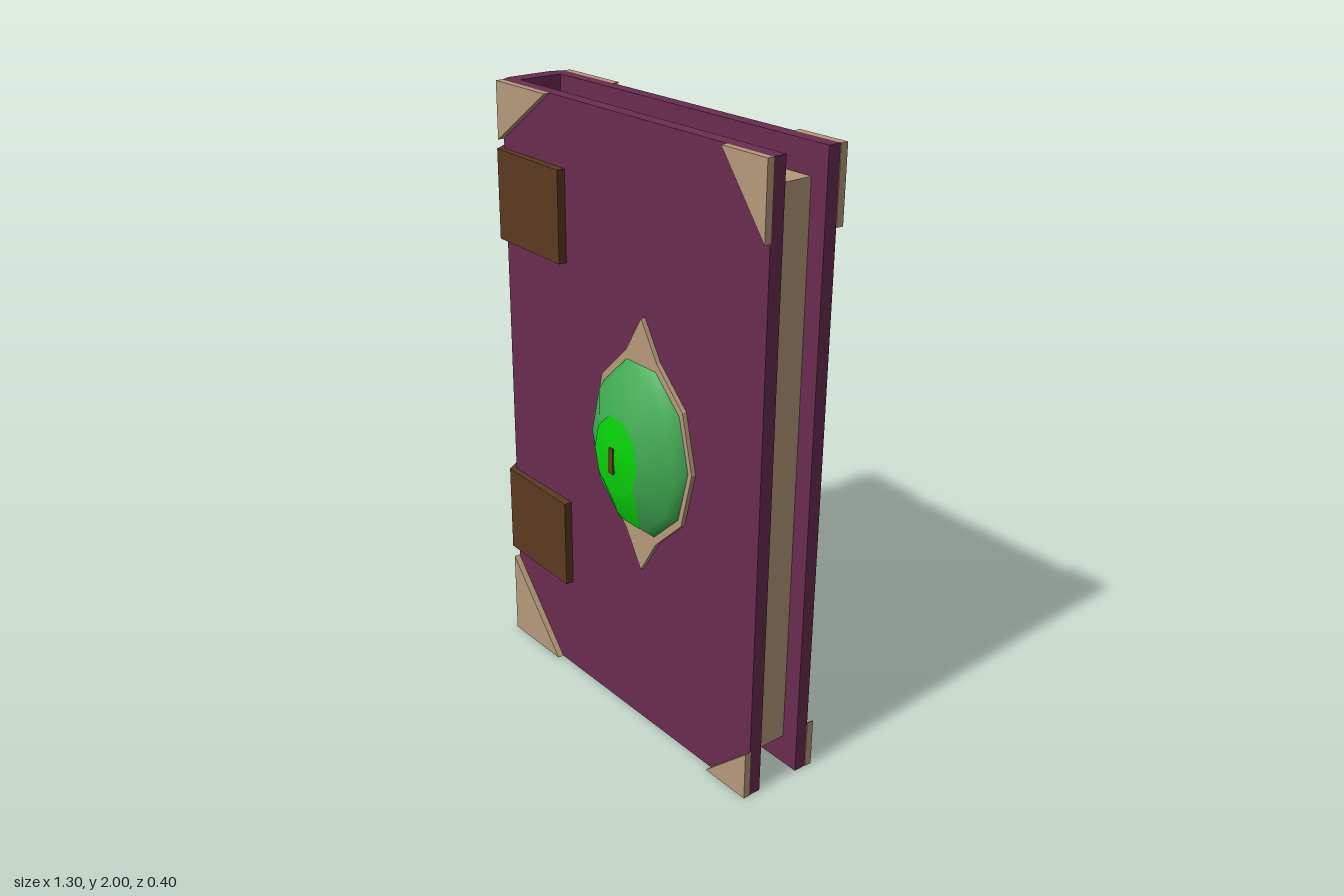
import * as THREE from 'three';

const mat = (name, color, side = THREE.FrontSide) => {
  const m = new THREE.MeshStandardMaterial({ color, side });
  m.name = name;
  return m;
};

export function createModel() {
  const book = new THREE.Group();
  book.name = 'book';

  const purple = mat('purple leather', 0x6b2c4f);
  const tan = mat('tan parchment', 0xb59a7a);
  const brown = mat('brown leather', 0x5b3a20);
  const green = mat('gem green', 0x40ab52);
  const bright = mat('bright green', 0x08d40a, THREE.DoubleSide);
  const pupilBrown = mat('pupil brown', 0x6a3f1c);

  const add = (name, geo, material, parent = book) => {
    const m = new THREE.Mesh(geo, material);
    m.name = name;
    parent.add(m);
    return m;
  };
  const extrude = (pts, depth) => new THREE.ExtrudeGeometry(
    new THREE.Shape(pts.map(([x, y]) => new THREE.Vector2(x, y))),
    { depth, bevelEnabled: false });
  // Footprint in x and z, raised from y0 to y1
  const upright = (pts, y0, y1) => extrude(pts.map(([x, z]) => [x, -z]), y1 - y0)
    .rotateX(-Math.PI / 2).translate(0, y0, 0);

  // Cover: two boards joined by a chamfered spine
  add('cover', upright([
    [0.645, 0.07], [-0.6, 0.07], [-0.62, 0.03], [-0.62, -0.13], [-0.6, -0.17], [0.645, -0.17],
    [0.645, -0.127], [-0.562, -0.127], [-0.562, 0.025], [0.645, 0.025]], 0, 2), purple);

  // Page block, set back from the cover edges
  add('pages', new THREE.BoxGeometry(1.147, 1.805, 0.152).translate(0.0115, 1.0025, -0.051), tan);

  // Straps wrapping around the spine
  const strap = [
    [-0.27, 0.098], [-0.61, 0.091], [-0.648, 0.03], [-0.648, -0.135], [-0.61, -0.192], [-0.27, -0.2],
    [-0.27, -0.168], [-0.6, -0.168], [-0.618, -0.13], [-0.618, 0.03], [-0.6, 0.068], [-0.27, 0.068]];
  [['lowerStrap', 0.337, 0.645], ['upperStrap', 1.485, 1.783]].forEach(([name, a, b]) =>
    add(name, upright(strap, a, b), brown));

  // Triangular corner guards on both boards: corner x, corner y, width, height
  [[-0.602, 2, 0.262, -0.187], [0.647, 2, -0.18, -0.23],
    [-0.602, 0, 0.262, 0.297], [0.647, 0, -0.18, 0.165]].forEach(([x, y, w, h]) => {
    [['frontCorner', 0.069, 0.022], ['backCorner', -0.194, 0.025]].forEach(([name, z, depth]) =>
      add(name, extrude([[x, y], [x + w, y], [x, y + h]], depth).translate(0, 0, z), tan));
  });

  // Gem on the front board
  const eye = new THREE.Group();
  eye.name = 'gemEye';
  eye.position.set(0.125, 0.995, 0);
  book.add(eye);
  const RX = 0.23, RY = 0.297;

  // Ten-sided frame with a point above and below
  const outline = [];
  for (let i = 0; i < 10; i++) {
    const a = i * Math.PI / 5;
    outline.push([0.241 * Math.cos(a), 0.318 * Math.sin(a)]);
    if (i === 2) outline.push([0, 0.424]);
    if (i === 7) outline.push([0, -0.424]);
  }
  add('gemFrame', extrude(outline, 0.016).translate(0, 0, 0.069), tan, eye);

  // Domed gem
  const dome = (profile) => new THREE.LatheGeometry(
    profile.map(([r, z]) => new THREE.Vector2(r, z)), 10, Math.PI / 10)
    .rotateX(Math.PI / 2).scale(RX, RY, 1);
  add('gem', dome([[0.98, 0.08], [0.97, 0.09], [0.88, 0.12], [0.45, 0.181], [0, 0.198]]), green, eye);
  add('iris', dome([[0.45, 0.183], [0, 0.2]]), bright, eye);

  // Lower part of the iris, lying on the gem's facets
  const onGem = (deg, r) => {
    const a = deg * Math.PI / 180;
    return new THREE.Vector3(RX * r * Math.cos(a), RY * r * Math.sin(a),
      0.183 - (r - 0.45) * 0.061 / 0.43);
  };
  const i216 = onGem(216, 0.45), i252 = onGem(252, 0.45), i288 = onGem(288, 0.45), i324 = onGem(324, 0.45);
  const e252 = onGem(252, 0.8), e288 = onGem(288, 0.8);
  const o252 = onGem(252, 0.88), o288 = onGem(288, 0.88);
  const b1 = o252.clone().lerp(o288, 0.2), b2 = o252.clone().lerp(o288, 0.8);
  const iris = new THREE.BufferGeometry().setFromPoints([
    i216, e252, i252, i252, e252, b1, i252, b1, b2, i252, b2, i288,
    i288, b2, e288, i288, e288, i324]);
  // Normals follow the rounded dome
  const p = iris.attributes.position, normals = [];
  for (let i = 0; i < p.count; i++) {
    normals.push(...new THREE.Vector3(p.getX(i) * 2.2, p.getY(i) * 1.4, 0.75).normalize().toArray());
  }
  iris.setAttribute('normal', new THREE.Float32BufferAttribute(normals, 3));
  add('lowerIris', iris, bright, eye);

  // Slit pupil
  add('pupil', new THREE.BoxGeometry(0.02, 0.084, 0.008).translate(0, -0.007, 0.197), pupilBrown, eye);

  return book;
}
